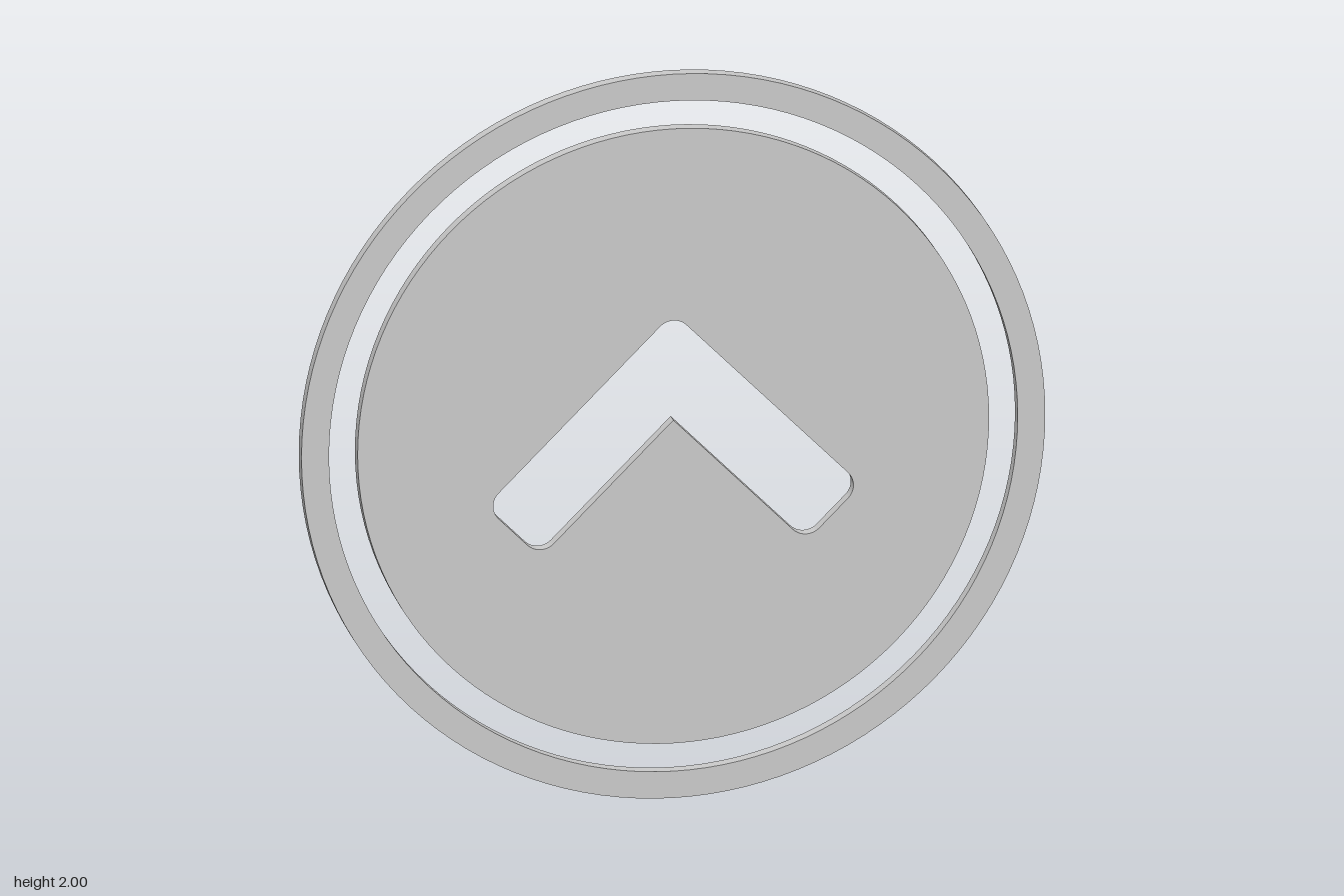
import * as THREE from 'three';
import { toCreasedNormals } from 'three/addons/utils/BufferGeometryUtils.js';

const DEPTH = 0.037;
const CORNER = 0.05;

// Arc points, both ends included
function arc(cx, cy, r, from, to, steps) {
  return Array.from({ length: steps + 1 }, (_, i) => {
    const a = THREE.MathUtils.degToRad(from + ((to - from) * i) / steps);
    return new THREE.Vector2(cx + r * Math.cos(a), cy + r * Math.sin(a));
  });
}

const circle = (r) => arc(0, 0, r, 0, 360, 128).slice(0, -1);

// Upward chevron: sharp inner notch, five rounded corners
function chevron() {
  // x, y of the sharp corner and the direction it points in
  const corners = [
    [0.357, -0.313, -90],
    [0.505, -0.165, 0],
    [0, 0.34, 90],
    [-0.505, -0.165, 180],
    [-0.357, -0.313, 270],
  ];
  const points = [new THREE.Vector2(0, 0.044)];
  for (const [x, y, dir] of corners) {
    const a = THREE.MathUtils.degToRad(dir);
    const inset = CORNER * Math.SQRT2;
    points.push(...arc(x - inset * Math.cos(a), y - inset * Math.sin(a), CORNER, dir - 45, dir + 45, 10));
  }
  return points;
}

// Flat plate with one opening
function plate(name, outline, opening, material) {
  const shape = new THREE.Shape(outline);
  shape.holes.push(new THREE.Path(opening));
  const geometry = new THREE.ExtrudeGeometry(shape, { depth: DEPTH, bevelEnabled: false });
  geometry.translate(0, 0, -DEPTH / 2);
  const mesh = new THREE.Mesh(toCreasedNormals(geometry, Math.PI / 6), material);
  mesh.name = name;
  mesh.position.y = 1;
  return mesh;
}

export function createModel() {
  const model = new THREE.Group();
  model.name = 'arrowBadge';
  const material = new THREE.MeshStandardMaterial({ color: 0xcccccc });

  model.add(plate('outerRing', circle(1), circle(0.926), material));
  model.add(plate('discWithChevronCutout', circle(0.849), chevron(), material));
  return model;
}
